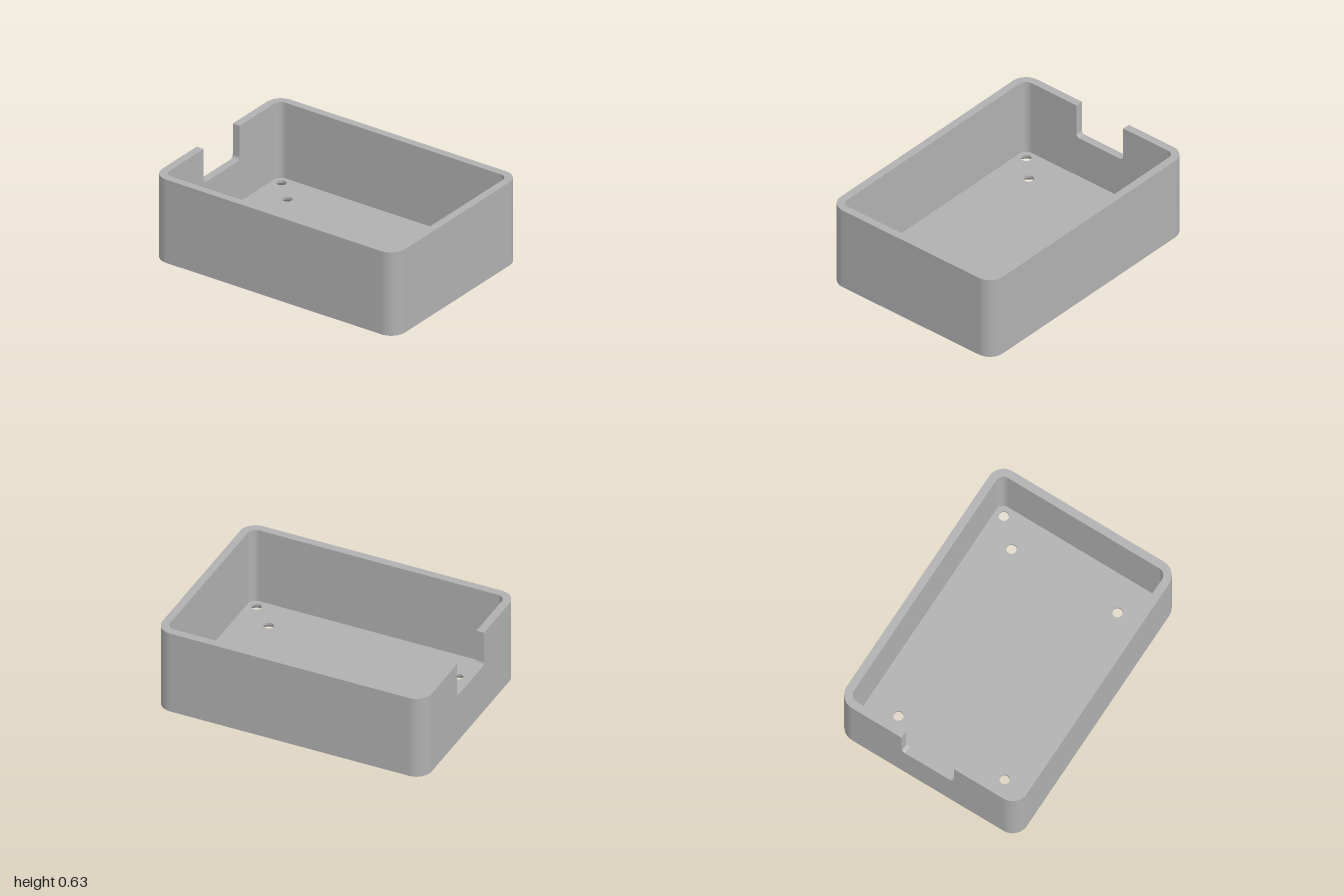
import * as THREE from 'three';

const W = 1, D = 0.714, H = 0.628;      // half width, half depth, height
const WALL = 0.057, FLOOR = 0.057;      // wall and floor thickness
const R_OUT = 0.114, R_IN = 0.057;      // corner radii
const NOTCH = 0.207, NOTCH_Y = 0.368, NOTCH_R = 0.03;
const HOLE_R = 0.035, SINK_R = 0.073, SINK_H = 0.038;
const HOLES = [[0.704, 0.421], [0.875, 0.59]];

const V2 = (x, y) => new THREE.Vector2(x, y);

// Arc samples: position p and radial direction n
function arc(cx, cy, r, from, to, steps = 12) {
  return Array.from({ length: steps + 1 }, (_, i) => {
    const a = from + (to - from) * i / steps;
    const n = V2(Math.cos(a), Math.sin(a));
    return { p: V2(cx + r * n.x, cy + r * n.y), n };
  });
}

// Rounded rectangle, open along the straight -x side
function outline(hw, hd, r) {
  return [[-1, -1], [1, -1], [1, 1], [-1, 1]].flatMap(([sx, sz], i) => {
    const a = Math.PI * (1 + i / 2);
    return arc(sx * (hw - r), sz * (hd - r), r, a, a + Math.PI / 2);
  });
}

// Strip between two matching rails; every face is turned towards its normal
function strip(railA, railB, normals) {
  const pos = [], nor = [], index = [];
  railA.forEach((a, i) => {
    pos.push(...a, ...railB[i]);
    nor.push(...normals[i], ...normals[i]);
  });
  const v = (k) => new THREE.Vector3().fromArray(pos, k * 3);
  for (let i = 0; i < railA.length - 1; i++) {
    const k = i * 2;
    const face = v(k + 2).sub(v(k)).cross(v(k + 1).sub(v(k)));
    const out = face.dot(new THREE.Vector3().fromArray(nor, k * 3)) > 0;
    if (out) index.push(k, k + 2, k + 1, k + 1, k + 2, k + 3);
    else index.push(k, k + 1, k + 2, k + 1, k + 3, k + 2);
  }
  const g = new THREE.BufferGeometry();
  g.setAttribute('position', new THREE.Float32BufferAttribute(pos, 3));
  g.setAttribute('normal', new THREE.Float32BufferAttribute(nor, 3));
  g.setIndex(index);
  return g;
}

// Upright wall surface around an outline; side is 1 facing out, -1 facing in
function wallSkin(line, y0, side) {
  return strip(
    line.map(({ p }) => [p.x, y0, p.y]),
    line.map(({ p }) => [p.x, H, p.y]),
    line.map(({ n }) => [side * n.x, 0, side * n.y]));
}

// Flat plate with a round opening at every screw position
function plate(line, holeRadius) {
  const shape = new THREE.Shape(line.map(({ p }) => p));
  for (const [x, z] of HOLES)
    for (const sx of [-1, 1]) for (const sz of [-1, 1])
      shape.holes.push(new THREE.Path(
        arc(sx * x, sz * z, holeRadius, 0, Math.PI * 2, 32).slice(0, -1).map(({ p }) => p)));
  return new THREE.ShapeGeometry(shape);
}

export function createModel() {
  const grey = new THREE.MeshStandardMaterial({ color: 0xb0b0b0 });
  grey.name = 'grey';
  const model = new THREE.Group();
  model.name = 'openBox';
  const add = (name, geometry) => {
    const mesh = new THREE.Mesh(geometry, grey);
    mesh.name = name;
    model.add(mesh);
    return mesh;
  };

  const outer = outline(W, D, R_OUT);
  const inner = outline(W - WALL, D - WALL, R_IN);

  // Walls on the three plain sides, with all four corners
  add('outerWalls', wallSkin(outer, 0, 1));
  add('innerWalls', wallSkin(inner, FLOOR, -1));

  // Notched wall on the -x side; profile runs in z and y
  const notch = [
    { p: V2(-NOTCH, H), n: V2(-1, 0) },
    ...arc(-NOTCH + NOTCH_R, NOTCH_Y + NOTCH_R, NOTCH_R, Math.PI, Math.PI * 1.5, 8),
    ...arc(NOTCH - NOTCH_R, NOTCH_Y + NOTCH_R, NOTCH_R, Math.PI * 1.5, Math.PI * 2, 8),
    { p: V2(NOTCH, H), n: V2(1, 0) },
  ];
  const notchedPanel = (half, y0) => new THREE.ShapeGeometry(new THREE.Shape([
    V2(-half, H), V2(-half, y0), V2(half, y0), V2(half, H),
    ...notch.map(({ p }) => p).reverse(),
  ]));
  add('notchedWallOutside',
    notchedPanel(D - R_OUT, 0).rotateY(-Math.PI / 2).translate(-W, 0, 0));
  add('notchedWallInside',
    notchedPanel(D - WALL - R_IN, FLOOR).rotateY(Math.PI / 2).translate(-W + WALL, 0, 0));
  add('notchEdge', strip(
    notch.map(({ p }) => [-W, p.y, p.x]),
    notch.map(({ p }) => [-W + WALL, p.y, p.x]),
    notch.map(({ n }) => [0, -n.y, -n.x])));

  // Top rim, interrupted by the notch
  const rim = new THREE.Shape([
    V2(-W, -NOTCH), ...outer.map(({ p }) => p), V2(-W, NOTCH),
    V2(-W + WALL, NOTCH), ...inner.map(({ p }) => p).reverse(), V2(-W + WALL, -NOTCH),
  ]);
  add('rim', new THREE.ShapeGeometry(rim).rotateX(-Math.PI / 2).translate(0, H, 0));

  // Floor and underside
  add('floor', plate(inner, HOLE_R).rotateX(-Math.PI / 2).translate(0, FLOOR, 0));
  add('underside', plate(outer, SINK_R).rotateX(Math.PI / 2));

  // Countersunk screw holes: straight bore above a cone
  const bore = new THREE.LatheGeometry([V2(HOLE_R, FLOOR), V2(HOLE_R, SINK_H)], 32);
  const cone = new THREE.LatheGeometry([V2(HOLE_R, SINK_H), V2(SINK_R, 0)], 32);
  for (const [x, z] of HOLES)
    for (const sx of [-1, 1]) for (const sz of [-1, 1]) {
      add('screwBore', bore).position.set(sx * x, 0, sz * z);
      add('countersink', cone).position.set(sx * x, 0, sz * z);
    }

  return model;
}
